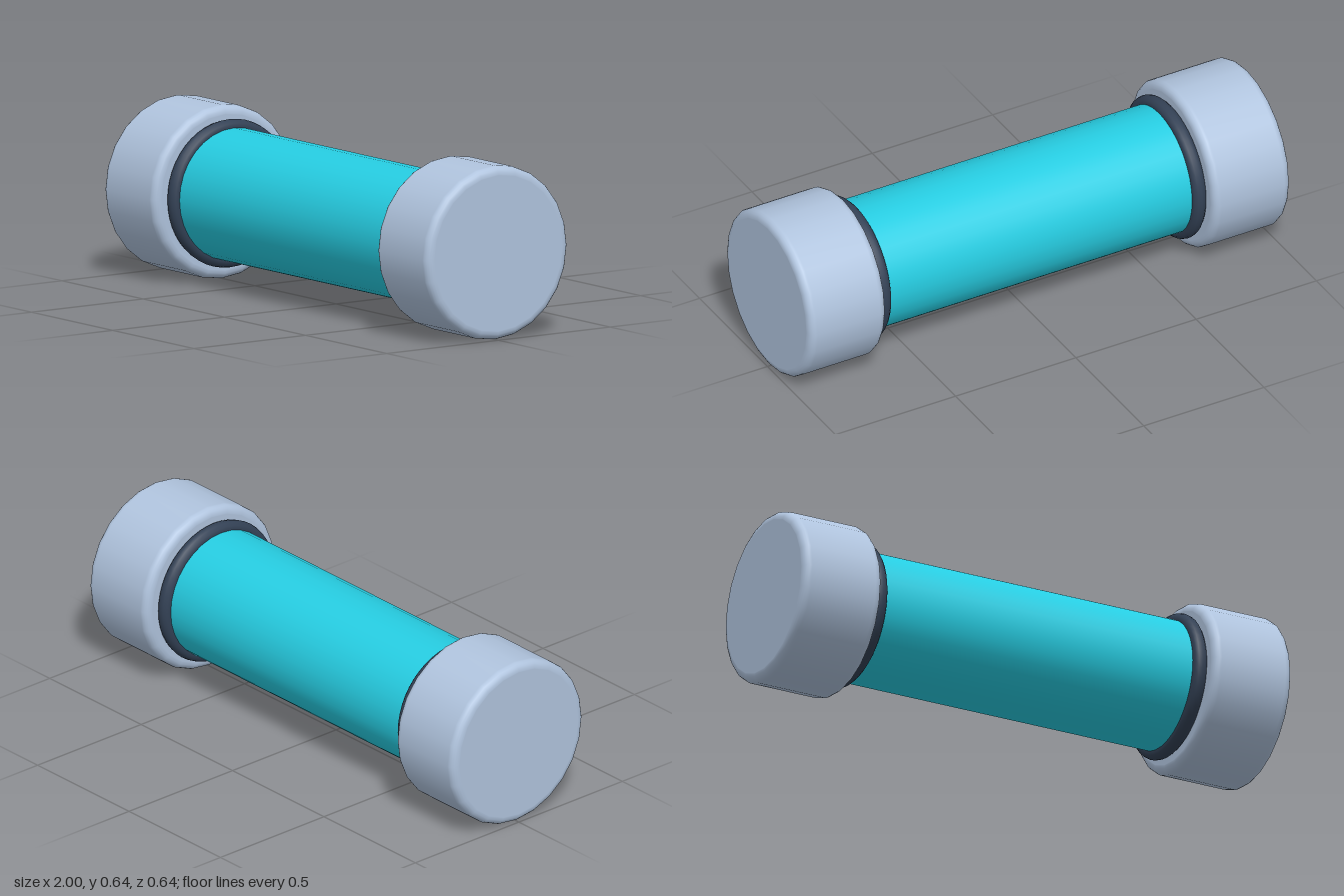
import * as THREE from 'three';

const CENTER_Y = 0.319;

export function createModel() {
  const model = new THREE.Group();
  const capMaterial = new THREE.MeshStandardMaterial({ color: 0xb0c4de });
  capMaterial.name = 'paleSteel';
  const tubeMaterial = new THREE.MeshStandardMaterial({ color: 0x26cde2 });
  tubeMaterial.name = 'cyan';
  const ringMaterial = new THREE.MeshStandardMaterial({ color: 0x334155 });
  ringMaterial.name = 'darkSlate';

  // Main tube along x
  const tubeGeometry = new THREE.CylinderGeometry(0.243, 0.243, 1.4, 32);
  tubeGeometry.rotateZ(-Math.PI / 2);
  const tube = new THREE.Mesh(tubeGeometry, tubeMaterial);
  tube.name = 'tube';
  tube.position.y = CENTER_Y;
  model.add(tube);

  // End cap: a solid disc with rounded rims, turned about its axis
  const radius = 0.319, bevel = 0.03, inner = 0.68, outer = 1, steps = 5;
  const profile = [new THREE.Vector2(0, inner), new THREE.Vector2(radius - bevel - 0.003, inner)];
  for (const [y, start] of [[inner + bevel, -Math.PI / 2], [outer - bevel, 0]]) {
    for (let i = 0; i <= steps; i++) {
      const a = start + (i / steps) * Math.PI / 2;
      profile.push(new THREE.Vector2(radius - bevel + bevel * Math.cos(a), y + bevel * Math.sin(a)));
    }
  }
  profile.push(new THREE.Vector2(radius - bevel - 0.003, outer), new THREE.Vector2(0, outer));
  const capGeometry = new THREE.LatheGeometry(profile, 24);
  capGeometry.rotateZ(-Math.PI / 2);

  // Seal ring where the tube meets the cap
  const ringGeometry = new THREE.TorusGeometry(0.245, 0.027, 12, 48);
  ringGeometry.rotateY(Math.PI / 2);
  ringGeometry.translate(0.655, 0, 0);

  // Matching ends, the right one turned half way round
  for (const side of ['left', 'right']) {
    const end = new THREE.Group();
    end.name = side + 'End';
    end.position.y = CENTER_Y;
    if (side === 'right') end.rotation.y = Math.PI;
    const cap = new THREE.Mesh(capGeometry, capMaterial);
    cap.name = side + 'Cap';
    const ring = new THREE.Mesh(ringGeometry, ringMaterial);
    ring.name = side + 'SealRing';
    end.add(cap, ring);
    model.add(end);
  }
  return model;
}
